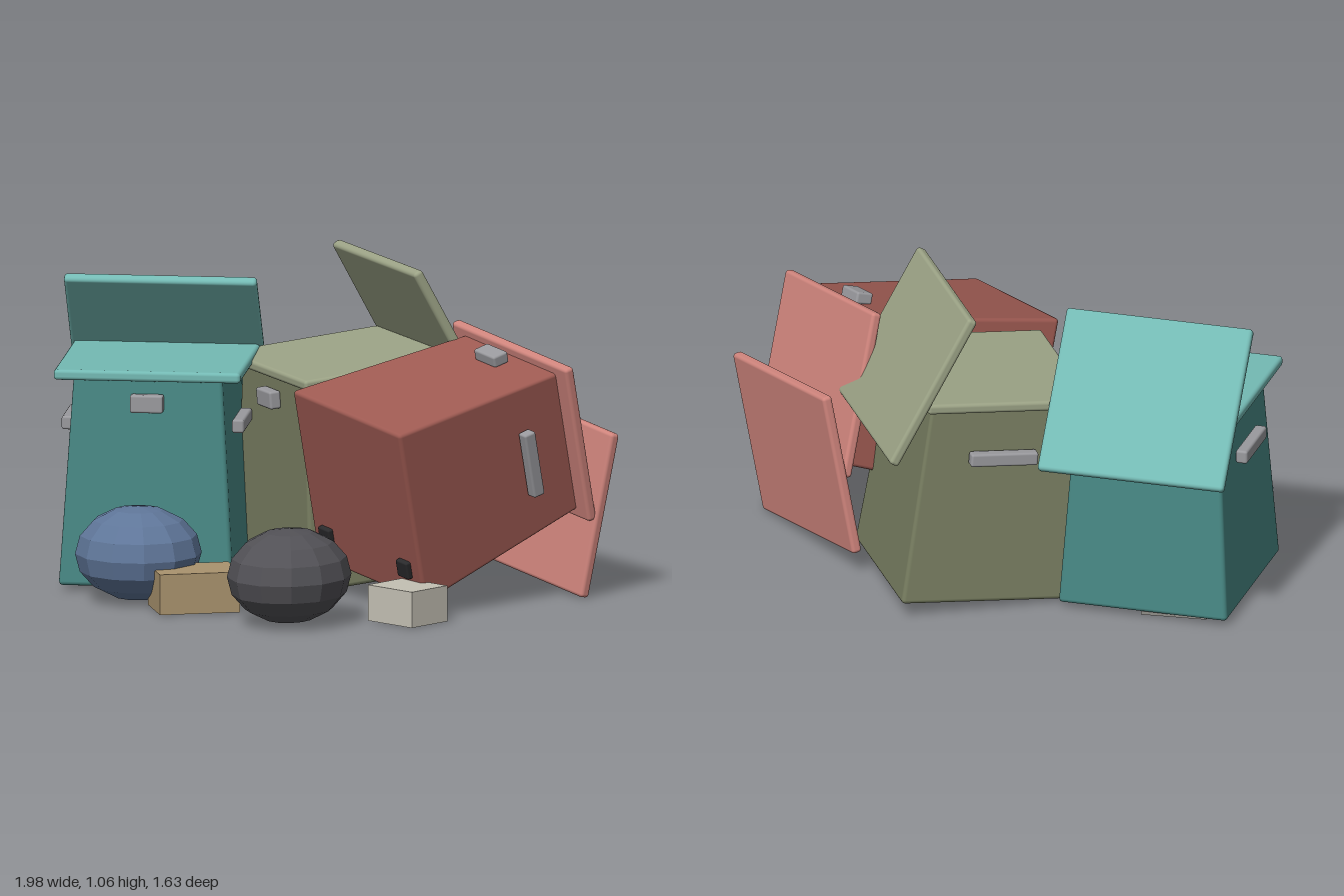
import * as THREE from 'three';
import { RoundedBoxGeometry } from 'three/addons/geometries/RoundedBoxGeometry.js';

const mat = (color, flatShading = false) => {
  const m = new THREE.MeshStandardMaterial({ flatShading });
  m.color.set(color);
  return m;
};
const metal = mat(0x9a9a9e);
const dark = mat(0x2a2a2c);

function add(parent, name, geometry, material, x, y, z) {
  const mesh = new THREE.Mesh(geometry, material);
  mesh.name = name;
  mesh.position.set(x, y, z);
  parent.add(mesh);
  return mesh;
}

const block = (w, h, d, r = 0.012) => new RoundedBoxGeometry(w, h, d, 2, r);

// Bin body: a rounded box narrowing towards the top
function bodyGeometry() {
  const h = 0.7;
  const g = block(0.58, h, 0.62, 0.014);
  const p = g.attributes.position;
  for (let i = 0; i < p.count; i++) {
    const t = p.getY(i) / h + 0.5;
    p.setX(i, p.getX(i) * (1 - 0.15 * t));
    p.setZ(i, p.getZ(i) * (1 - 0.2 * t));
    p.setY(i, p.getY(i) + h / 2);
  }
  return g;
}

// One bin standing on its own y = 0, front towards +z
function makeBin(name, bodyColor, lidColor, lidTilt, lidY) {
  const bin = new THREE.Group();
  bin.name = name;
  const lidMat = mat(lidColor);
  add(bin, 'binBody', bodyGeometry(), mat(bodyColor), 0, 0, 0);
  add(bin, 'flatLid', block(0.62, 0.035, 0.56), lidMat, 0, 0.7, 0);
  const flap = add(bin, 'openLid', block(0.64, 0.035, 0.56), lidMat, 0, lidY, -0.27);
  flap.rotation.x = -lidTilt;
  add(bin, 'frontHandle', block(0.11, 0.06, 0.04, 0.008), metal, 0, 0.61, 0.275);
  for (const s of [-1, 1]) {
    add(bin, 'sideHandle', block(0.04, 0.045, 0.23, 0.008), metal, s * 0.283, 0.51, 0);
    add(bin, 'foot', block(0.06, 0.03, 0.06, 0.006), dark, s * 0.21, -0.003, -0.2);
  }
  return bin;
}

export function createModel() {
  const model = new THREE.Group();
  model.name = 'binsAndRubbish';

  // Upright bin
  const teal = makeBin('tealBin', 0x4a8c88, 0x74bab4, 0.9, 0.745);
  teal.position.set(-0.555, 0.018, -0.02);
  teal.rotation.y = 0.31;
  model.add(teal);

  // Bin tipped slightly forward
  const olive = makeBin('oliveBin', 0x7c8264, 0x9ca386, 1.14, 0.765);
  olive.rotation.order = 'YXZ';
  olive.rotation.set(0.08, -0.7, 0);
  olive.position.set(0.02, 0.026, -0.35);
  model.add(olive);

  // Bin toppled onto its back
  const red = makeBin('redBin', 0x9e5a52, 0xd0857d, 0.41, 0.725);
  const X = new THREE.Vector3(0.88, -0.12, 0.457).normalize();
  const Y = new THREE.Vector3(-0.02, 0.958, 0.29).cross(X).normalize();
  const Z = X.clone().cross(Y);
  red.quaternion.setFromRotationMatrix(new THREE.Matrix4().makeBasis(X, Y, Z));
  red.position.set(0.31, 0.378, 0.27);
  model.add(red);

  // Rubbish bags
  const bag = new THREE.SphereGeometry(1, 12, 8);
  add(model, 'blueBag', bag, mat(0x5f7699, true), -0.425, 0.16, 0.41).scale.set(0.21, 0.157, 0.21);
  add(model, 'greyBag', bag, mat(0x525156, true), 0.2, 0.16, 0.58).scale.set(0.2, 0.157, 0.23);

  // Loose boxes and a flat sheet under the upright bin
  const carton = new THREE.BoxGeometry(0.27, 0.135, 0.195);
  add(model, 'cardboardBox', carton, mat(0xaa936e), -0.195, 0.0675, 0.47).rotation.y = 0.63;
  const pale = new THREE.BoxGeometry(0.2, 0.12, 0.17);
  add(model, 'paleBox', pale, mat(0xc4c0b4), 0.54, 0.06, 0.385).rotation.y = -0.33;
  const sheet = new THREE.BoxGeometry(0.22, 0.012, 0.2);
  add(model, 'flatSheet', sheet, mat(0x8f8d88), -0.7, 0.01, -0.17).rotation.y = 0.4;

  return model;
}
